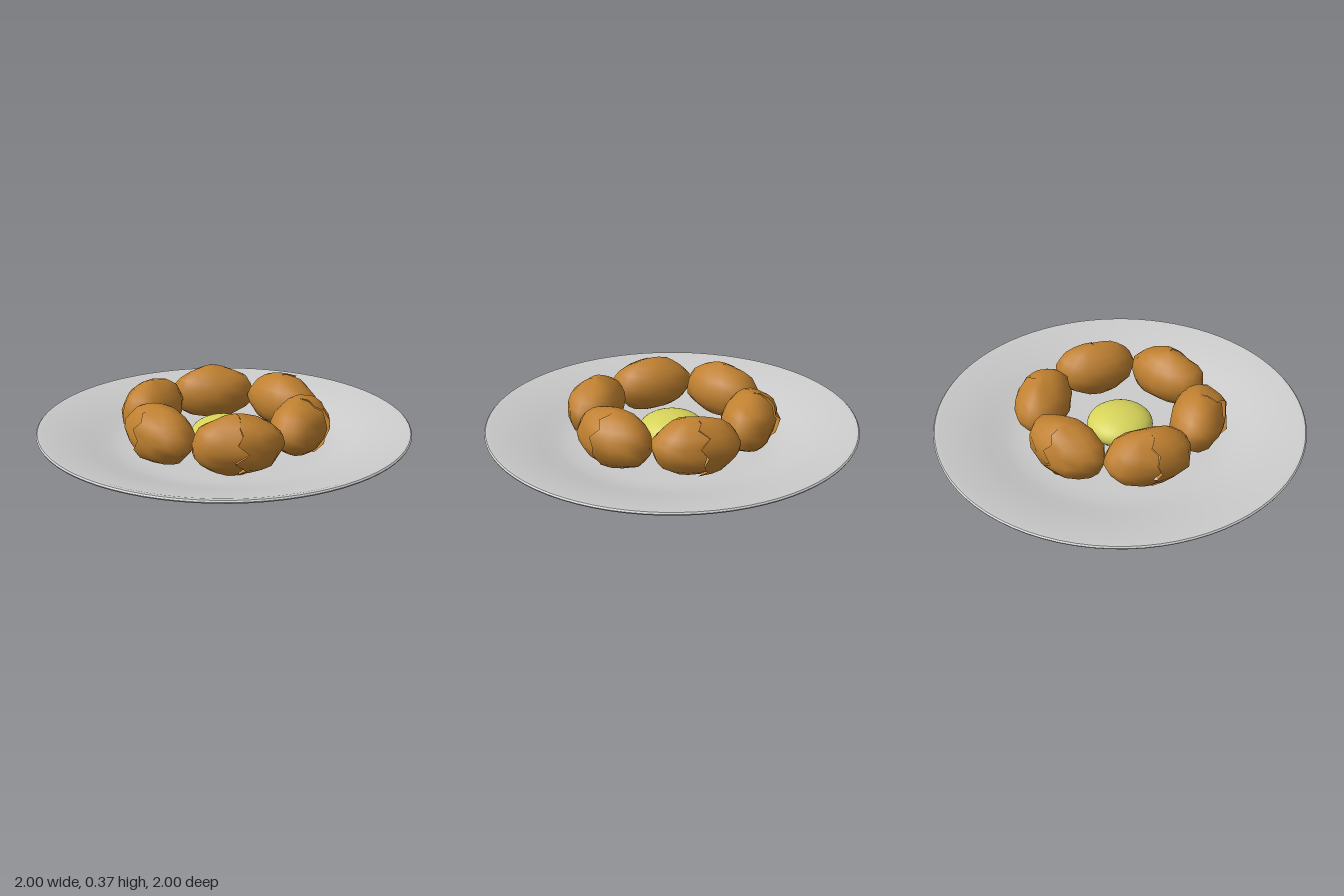
import * as THREE from 'three';
import { toCreasedNormals } from 'three/addons/utils/BufferGeometryUtils.js';

const plateMaterial = new THREE.MeshStandardMaterial({ color: 0xcccccc });
const crustMaterial = new THREE.MeshStandardMaterial({ color: 0xbf8030, side: THREE.DoubleSide });
const domeMaterial = new THREE.MeshStandardMaterial({ color: 0xd6d35a });

// Round plate: foot, flared underside, rolled rim and shallow well
function makePlate() {
  const profile = [
    [0, 0], [0.62, 0], [0.645, 0.035], [0.665, 0.057], [0.7, 0.075],
    [0.98, 0.163], [0.997, 0.171], [1, 0.178], [0.993, 0.185], [0.975, 0.185],
    [0.72, 0.108], [0.64, 0.085], [0.58, 0.07], [0.5, 0.063], [0, 0.06],
  ].map(([r, y]) => new THREE.Vector2(r, y));
  const plate = new THREE.Mesh(toCreasedNormals(new THREE.LatheGeometry(profile, 80), 0.75), plateMaterial);
  plate.name = 'plate';
  return plate;
}

// Lumpy ellipsoid with a jagged crack where its seam does not quite close.
// The seam is on local -x, the long axis is local z.
function makeNugget(seed) {
  const cols = 14, rows = 10;
  const geometry = new THREE.SphereGeometry(1, cols, rows);
  const pos = geometry.attributes.position;
  for (let j = 0; j <= rows; j++) {
    const theta = (j / rows) * Math.PI;
    const zigzag = (j % 2 ? 0.13 : -0.13) * (0.7 + 0.5 * Math.sin(seed * 2.3 + j));
    for (let i = 0; i <= cols; i++) {
      const u = i / cols;
      const nearSeam = Math.max(0, 1 - Math.min(i, cols - i) / 2);
      const phi = u * 2 * Math.PI + zigzag * nearSeam;
      const x = -Math.cos(phi) * Math.sin(theta);
      const y = Math.cos(theta);
      const z = Math.sin(phi) * Math.sin(theta);
      // Smooth lumps over the whole crust
      let r = 1 + 0.035 * Math.sin(5 * x + seed * 1.7) * Math.cos(4 * z + seed)
        + 0.03 * Math.sin(6 * y + 5 * z + seed * 2.1);
      // One lip of the crack stands proud of the other
      const lip = nearSeam * Math.sin(theta) * (0.06 + 0.04 * Math.sin(j * 1.9 + seed));
      r += u < 0.5 ? lip : -lip * 0.5;
      pos.setXYZ(j * (cols + 1) + i, x * r * 0.148, y * r * 0.15, z * r * 0.235);
    }
  }
  geometry.computeVertexNormals();
  const nugget = new THREE.Mesh(geometry, crustMaterial);
  nugget.name = 'nugget' + (seed + 1);
  return nugget;
}

export function createModel() {
  const model = new THREE.Group();
  model.name = 'plateOfNuggets';
  model.add(makePlate());

  // Ring of six nuggets, cracks facing outwards
  const ring = new THREE.Group();
  ring.name = 'nuggetRing';
  for (let k = 0; k < 6; k++) {
    const angle = (k * Math.PI) / 3;
    const nugget = makeNugget(k);
    nugget.position.set(0.423 * Math.cos(angle), 0.214, 0.423 * Math.sin(angle));
    nugget.rotation.y = Math.PI - angle;
    ring.add(nugget);
  }
  model.add(ring);

  // Flattened yellow dome in the middle
  const dome = new THREE.Mesh(new THREE.SphereGeometry(0.18, 32, 20), domeMaterial);
  dome.name = 'centreDome';
  dome.scale.y = 0.5;
  dome.position.y = 0.117;
  model.add(dome);

  return model;
}
